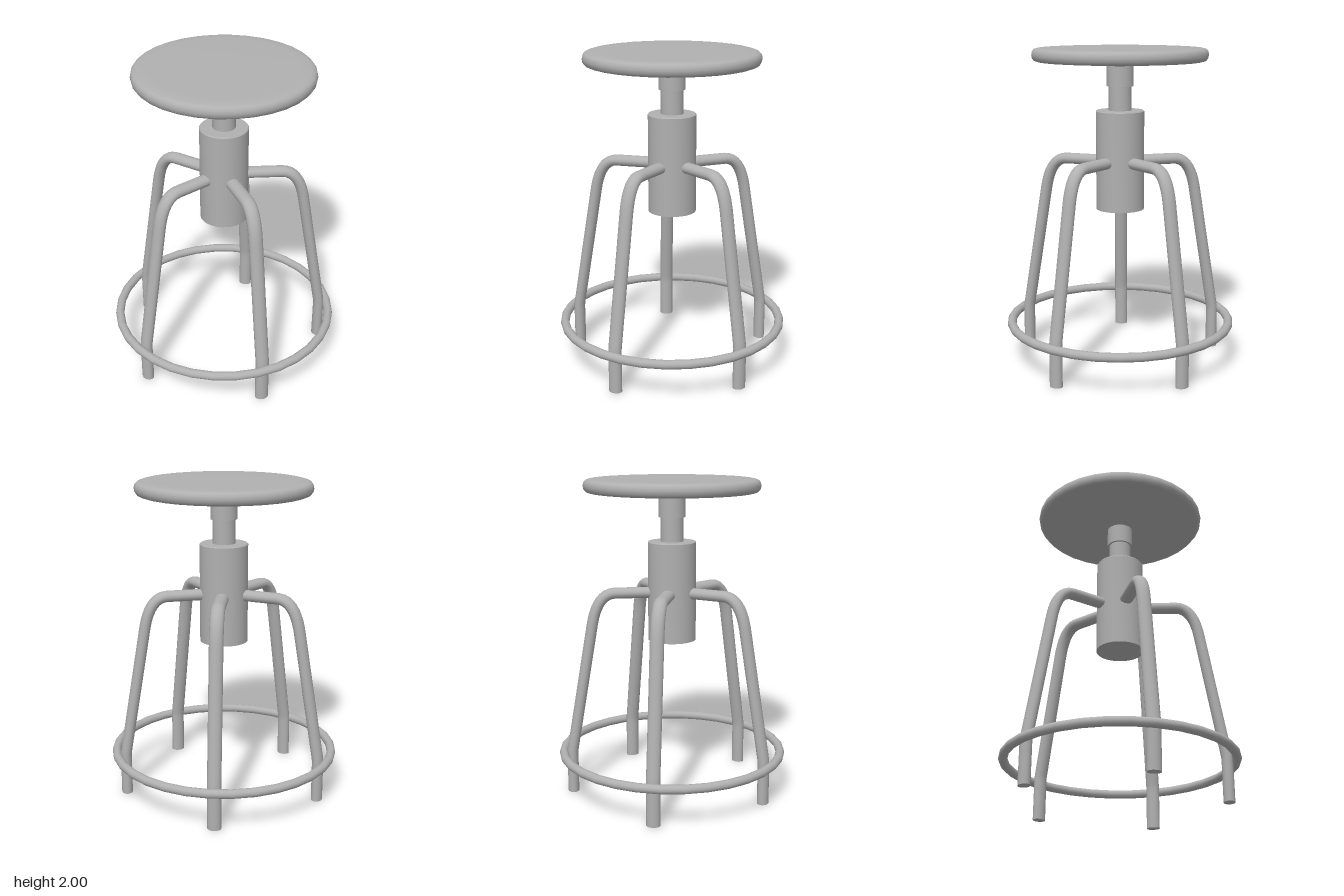
import * as THREE from 'three';
import { toCreasedNormals } from 'three/addons/utils/BufferGeometryUtils.js';

const V = (x, y) => new THREE.Vector3(x, y, 0);

export function createModel() {
  const group = new THREE.Group();
  const steel = new THREE.MeshStandardMaterial({ color: 0xb0b0b0 });
  steel.name = 'grey steel';

  const add = (name, geometry, parent = group) => {
    const mesh = new THREE.Mesh(geometry, steel);
    mesh.name = name;
    parent.add(mesh);
    return mesh;
  };

  // Turned parts: profiles run from the bottom axis to the top axis
  const turned = (name, profile) => add(name, toCreasedNormals(
    new THREE.LatheGeometry(profile.map(([r, y]) => new THREE.Vector2(r, y)), 32), 0.6));

  turned('seat', [[0, 1.888], [0.08, 1.89], [0.16, 1.903], [0.235, 1.918], [0.515, 1.918],
    [0.532, 1.924], [0.543, 1.938], [0.547, 1.958], [0.543, 1.979], [0.532, 1.992],
    [0.512, 1.998], [0.45, 2], [0, 2]]);
  turned('collar', [[0, 1.765], [0.083, 1.765], [0.083, 1.9], [0, 1.9]]);
  turned('spindle', [[0, 1.6], [0.071, 1.6], [0.071, 1.78], [0, 1.78]]);
  turned('column', [[0, 0.99], [0.151, 0.99], [0.151, 1.609], [0.146, 1.615], [0, 1.615]]);

  // Foot ring around the outside of the legs
  const ring = add('footRing', new THREE.TorusGeometry(0.703, 0.028, 12, 32));
  ring.rotation.x = Math.PI / 2;
  ring.position.y = 0.255;

  // Five bent legs, drawn in the radial plane and slightly wider sideways
  const path = new THREE.CurvePath();
  path.add(new THREE.LineCurve3(V(0.08, 1.295), V(0.36, 1.295)));
  path.add(new THREE.QuadraticBezierCurve3(V(0.36, 1.295), V(0.47, 1.295), V(0.505, 1.1)));
  path.add(new THREE.LineCurve3(V(0.505, 1.1), V(0.643, 0.29)));
  path.add(new THREE.QuadraticBezierCurve3(V(0.643, 0.29), V(0.646, 0.27), V(0.646, 0.25)));
  path.add(new THREE.LineCurve3(V(0.646, 0.25), V(0.646, 0)));
  const tube = new THREE.TubeGeometry(path, 64, 0.035, 16).scale(1, 1, 1.23);
  const cap = new THREE.CircleGeometry(0.035, 16).rotateX(Math.PI / 2)
    .scale(1, 1, 1.23).translate(0.646, 0, 0);

  for (let i = 0; i < 5; i++) {
    const leg = new THREE.Group();
    leg.name = 'leg' + (i + 1);
    add('legTube', tube, leg);
    add('legFoot', cap, leg);
    leg.rotation.y = Math.PI + i * Math.PI * 2 / 5;
    group.add(leg);
  }
  return group;
}
